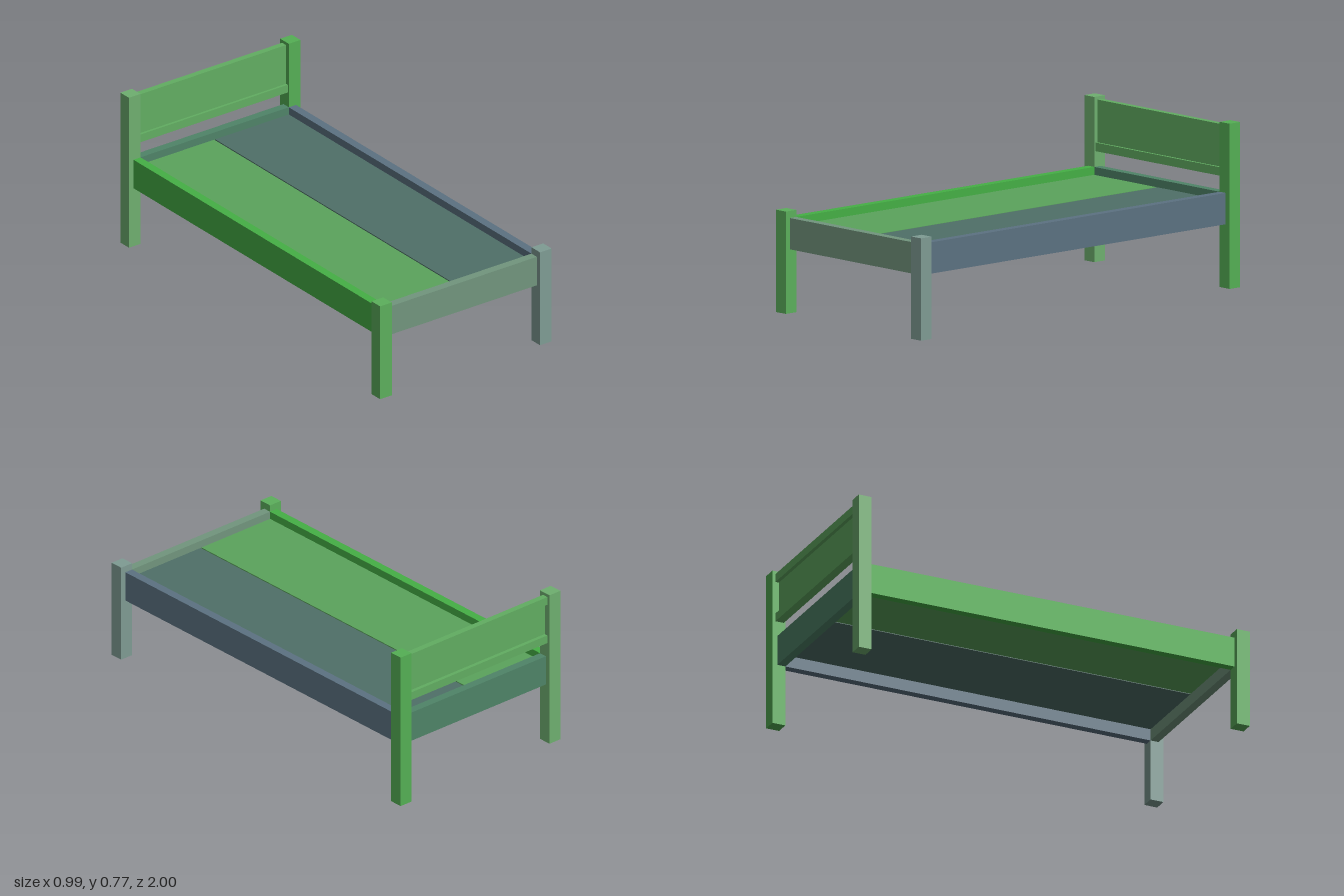
import * as THREE from 'three';

const GREEN = 0x55b055, PALE = 0x6fb070, BRIGHT = 0x45b045, SLATE = 0x5c7282, TEAL = 0x4f7068, SAGE = 0x72967e;

export function createModel() {
  const bed = new THREE.Group();
  bed.name = 'bed';

  // Axis-aligned box given by its minimum and maximum corners
  function block(name, color, [x0, y0, z0], [x1, y1, z1]) {
    const mesh = new THREE.Mesh(
      new THREE.BoxGeometry(x1 - x0, y1 - y0, z1 - z0),
      new THREE.MeshStandardMaterial({ color })
    );
    mesh.position.set((x0 + x1) / 2, (y0 + y1) / 2, (z0 + z1) / 2);
    mesh.name = name;
    bed.add(mesh);
  }

  const inX = 0.427, outX = 0.494, inZ = 0.934;

  for (const side of [-1, 1]) {
    const label = side > 0 ? 'left' : 'right';
    const span = (a, b) => (side > 0 ? [a, b] : [-b, -a]);
    const [px0, px1] = span(inX, outX);
    const [rx0, rx1] = span(inX, 0.468);
    const [bx0, bx1] = span(0.003, inX);

    // Corner posts
    block(label + 'FrontPost', side > 0 ? 0x7f9c94 : 0x5cb05c, [px0, 0, inZ], [px1, 0.48, 1]);
    block(label + 'BackPost', side > 0 ? GREEN : PALE, [px0, 0, -1], [px1, 0.775, -inZ]);

    // Side rail and half of the thick bed base
    block(label + 'SideRail', side > 0 ? SLATE : BRIGHT, [rx0, 0.3, -inZ], [rx1, 0.447, inZ]);
    block(label + 'BaseBoard', side > 0 ? TEAL : 0x5ba45c, [bx0, 0.357, -inZ], [bx1, 0.41, inZ]);
  }

  // End rails
  block('footRail', SAGE, [-inX, 0.3, inZ], [inX, 0.447, 0.975]);
  block('headRail', 0x4f8468, [-inX, 0.3, -0.975], [inX, 0.447, -inZ]);

  // Headboard: top rail, thin panel set in from the back, deeper bottom rail
  block('headboardTopRail', 0x62ae62, [-inX, 0.72, -0.985], [inX, 0.76, -0.955]);
  block('headboardPanel', 0x62ae62, [-inX, 0.56, -0.967], [inX, 0.72, -0.955]);
  block('headboardBottomRail', 0x62ae62, [-inX, 0.52, -0.985], [inX, 0.56, -0.942]);

  return bed;
}
